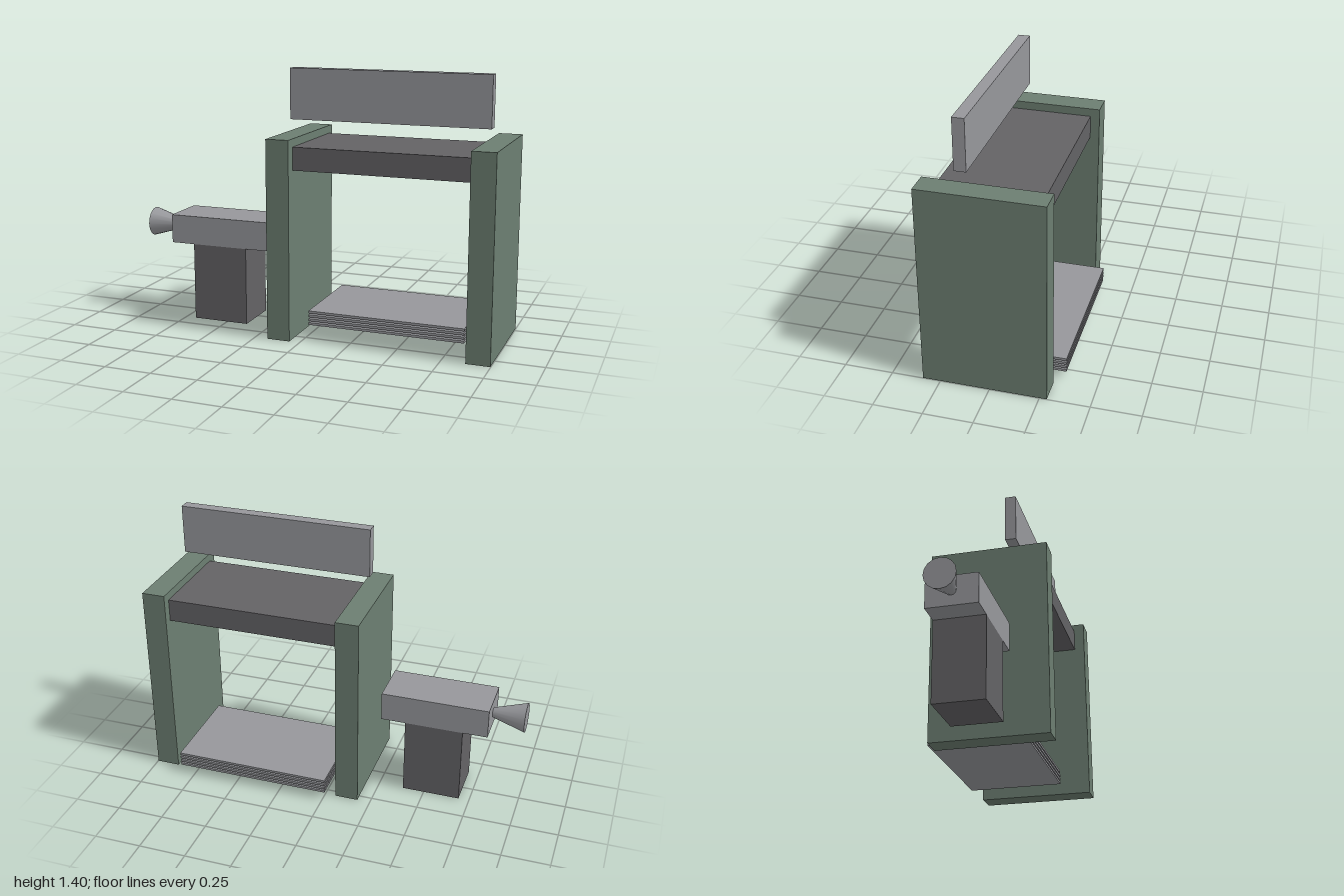
import * as THREE from 'three';

const green = new THREE.MeshStandardMaterial({ name: 'sage green', color: 0x6c7e71 });
const dark = new THREE.MeshStandardMaterial({ name: 'dark grey', color: 0x636265 });
const light = new THREE.MeshStandardMaterial({ name: 'light grey', color: 0x96979b });

// Box given by its extents on each axis
function block(name, material, [x0, x1], [y0, y1], [z0, z1]) {
  const mesh = new THREE.Mesh(new THREE.BoxGeometry(x1 - x0, y1 - y0, z1 - z0), material);
  mesh.position.set((x0 + x1) / 2, (y0 + y1) / 2, (z0 + z1) / 2);
  mesh.name = name;
  return mesh;
}

export function createModel() {
  const model = new THREE.Group();
  model.name = 'machineFrame';

  // Upright side panels joined by a cross beam
  const panelZ = [-0.287, 0.34];
  model.add(
    block('rightPanel', green, [-0.18, -0.056], [0, 1.052], panelZ),
    block('leftPanel', green, [0.874, 0.998], [0, 1.052], panelZ),
    block('crossBeam', dark, [-0.056, 0.874], [0.89, 1.01], [-0.24, 0.283]),
    block('floatingBoard', light, [-0.117, 0.931], [1.134, 1.397], [0.102, 0.162])
  );

  // Stack of thin sheets between the panels
  const stack = new THREE.Group();
  stack.name = 'sheetStack';
  for (let i = 0; i < 4; i++) {
    const y = 0.047 + i * 0.0213;
    stack.add(block('sheet', light, [-0.012, 0.828], [y, y + 0.013], [-0.341, 0.182]));
  }
  model.add(stack);

  // Side unit: pedestal, housing and flared nozzle
  const unit = new THREE.Group();
  unit.name = 'sideUnit';
  unit.add(
    block('pedestal', dark, [-0.693, -0.384], [0, 0.419], [-0.105, 0.155]),
    block('housing', light, [-0.824, -0.253], [0.419, 0.574], [-0.105, 0.155])
  );
  const nozzle = new THREE.Mesh(new THREE.CylinderGeometry(0.079, 0.026, 0.176, 16), light);
  nozzle.name = 'nozzle';
  nozzle.rotation.z = Math.PI / 2;
  nozzle.position.set(-0.912, 0.497, 0.022);
  unit.add(nozzle);
  model.add(unit);

  return model;
}
